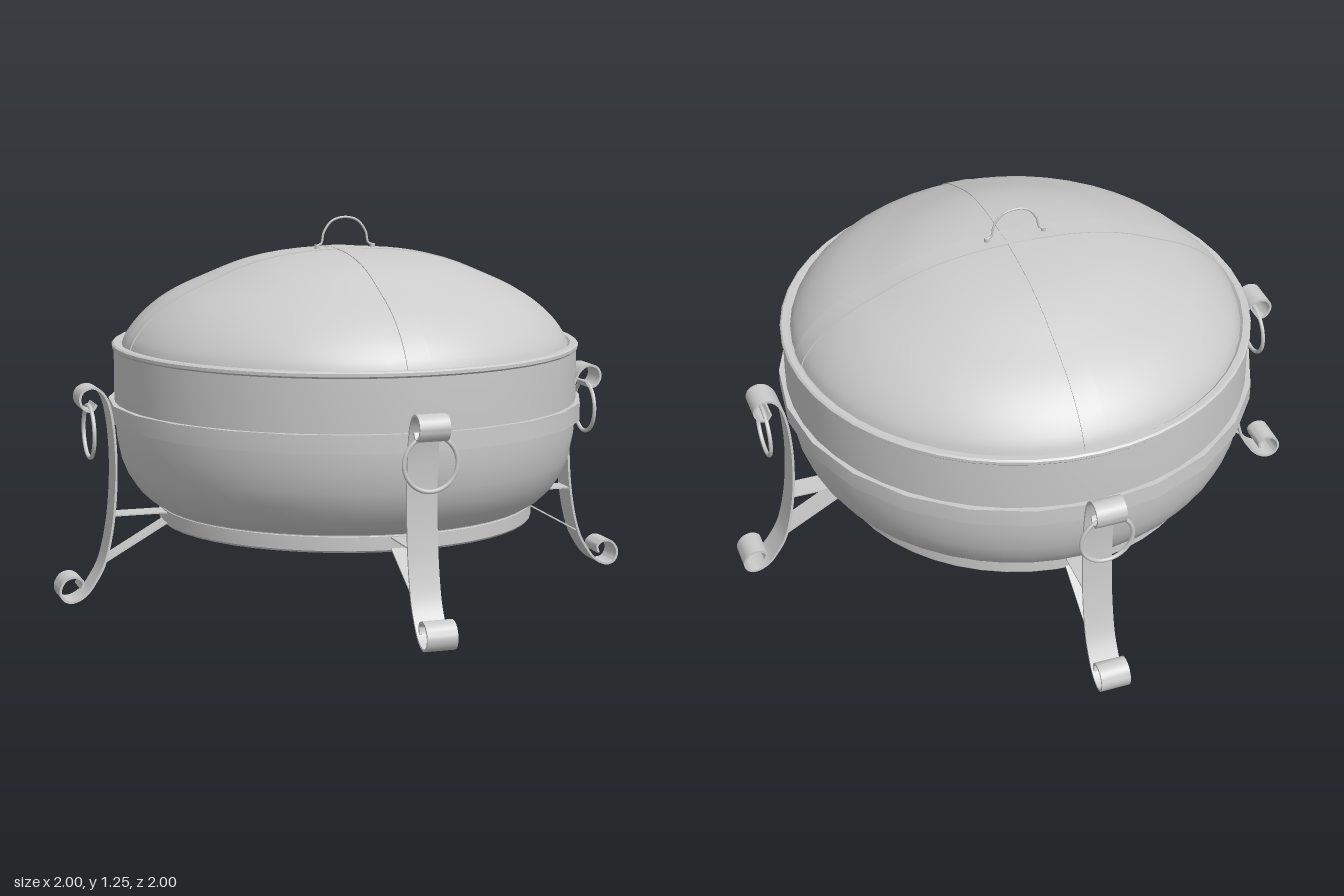
import * as THREE from 'three';
import { toCreasedNormals } from 'three/addons/utils/BufferGeometryUtils.js';

const material = new THREE.MeshStandardMaterial({ color: 0xcccccc, side: THREE.DoubleSide });

function add(parent, name, geometry) {
  const mesh = new THREE.Mesh(geometry, material);
  mesh.name = name;
  parent.add(mesh);
  return mesh;
}

const vectors = (pairs) => pairs.map(([x, y]) => new THREE.Vector2(x, y));

function lathe(pairs, segments, crease = 0.6) {
  return toCreasedNormals(new THREE.LatheGeometry(vectors(pairs), segments), crease);
}

// Flat bar: a path in the xy plane, thickened and extruded along z
function bar(points, thickness, width, zCentre) {
  const left = [], right = [];
  points.forEach((p, i) => {
    const a = points[Math.max(i - 1, 0)], b = points[Math.min(i + 1, points.length - 1)];
    const d = b.clone().sub(a).normalize().multiplyScalar(thickness / 2);
    left.push(new THREE.Vector2(p.x - d.y, p.y + d.x));
    right.unshift(new THREE.Vector2(p.x + d.y, p.y - d.x));
  });
  const geometry = new THREE.ExtrudeGeometry(new THREE.Shape([...left, ...right]), { depth: width, bevelEnabled: false });
  geometry.translate(0, 0, zCentre - width / 2);
  return toCreasedNormals(geometry, 0.7);
}

const smooth = (pairs, n) => new THREE.SplineCurve(vectors(pairs)).getPoints(n);

const domeProfile = smooth([[0.752, 0.835], [0.735, 0.875], [0.685, 0.935], [0.6, 1.0], [0.48, 1.057],
  [0.34, 1.112], [0.18, 1.143], [0, 1.153]], 24);

// Scrolled leg profile, from the foot curl to the top curl
const legProfile = smooth([[0.925, 0.05], [0.92, 0.075], [0.945, 0.092], [0.978, 0.083], [0.996, 0.05],
  [0.985, 0.018], [0.955, 0.008], [0.915, 0.026], [0.88, 0.068], [0.843, 0.14], [0.815, 0.27], [0.803, 0.42],
  [0.806, 0.55], [0.82, 0.65], [0.842, 0.7], [0.875, 0.72], [0.908, 0.71], [0.92, 0.68], [0.905, 0.65],
  [0.88, 0.645], [0.865, 0.665]], 80);

function createLeg() {
  const leg = new THREE.Group();
  leg.name = 'leg';
  const z = 0.01;
  add(leg, 'scrolledLeg', bar(legProfile, 0.008, 0.1, z));
  add(leg, 'upperBrace', bar(vectors([[0.62, 0.289], [0.812, 0.289]]), 0.005, 0.08, z));
  add(leg, 'lowerBrace', bar(vectors([[0.62, 0.26], [0.847, 0.132]]), 0.005, 0.08, z));
  // Carrying ring hanging through the top curl
  const ring = add(leg, 'carryingRing', new THREE.TorusGeometry(0.087, 0.007, 8, 40));
  ring.rotation.y = Math.PI / 2;
  ring.position.set(0.882, 0.57, z);
  return leg;
}

export function createModel() {
  const model = new THREE.Group();
  model.name = 'firePit';

  // Bowl with a rolled lip
  add(model, 'bowl', lathe([[0, 0.285], [0.63, 0.285], [0.632, 0.3], [0.67, 0.322], [0.705, 0.355], [0.738, 0.405],
    [0.76, 0.46], [0.774, 0.53], [0.78, 0.6], [0.78, 0.822], [0.786, 0.828], [0.786, 0.838], [0.78, 0.843],
    [0.76, 0.843], [0.752, 0.835], [0.752, 0.8]], 48));
  add(model, 'bowlBand', lathe([[0.776, 0.59], [0.8, 0.59], [0.8, 0.65], [0.776, 0.65]], 24, 0.4));
  add(model, 'baseRing', lathe([[0.615, 0.285], [0.615, 0.243], [0.628, 0.243], [0.634, 0.25], [0.634, 0.295],
    [0.626, 0.301], [0.6, 0.301]], 48));

  // Domed lid and its two crossing straps
  add(model, 'lid', new THREE.LatheGeometry(domeProfile, 48));
  const half = domeProfile.map((p) => new THREE.Vector2(p.x, p.y));
  const arc = [...half, ...half.slice(0, -1).reverse().map((p) => new THREE.Vector2(-p.x, p.y))];
  for (const turn of [0, Math.PI / 2]) {
    add(model, 'lidStrap', bar(arc, 0.004, 0.08, 0)).rotation.y = turn;
  }

  // Arched wire handle with small feet
  const arch = new THREE.CatmullRomCurve3([[-0.1, 1.16], [-0.083, 1.168], [-0.074, 1.205], [-0.045, 1.243], [0, 1.255],
    [0.045, 1.243], [0.074, 1.205], [0.083, 1.168], [0.1, 1.16]].map(([x, y]) => new THREE.Vector3(x, y, 0)));
  add(model, 'lidHandle', new THREE.TubeGeometry(arch, 48, 0.004, 8));
  for (const side of [-1, 1]) {
    add(model, 'handleFoot', new THREE.CylinderGeometry(0.009, 0.009, 0.018, 12)).position.set(side * 0.098, 1.155, 0);
  }

  // Four legs around the bowl
  for (let i = 0; i < 4; i++) {
    const leg = createLeg();
    leg.rotation.y = (i * Math.PI) / 2;
    model.add(leg);
  }
  return model;
}
